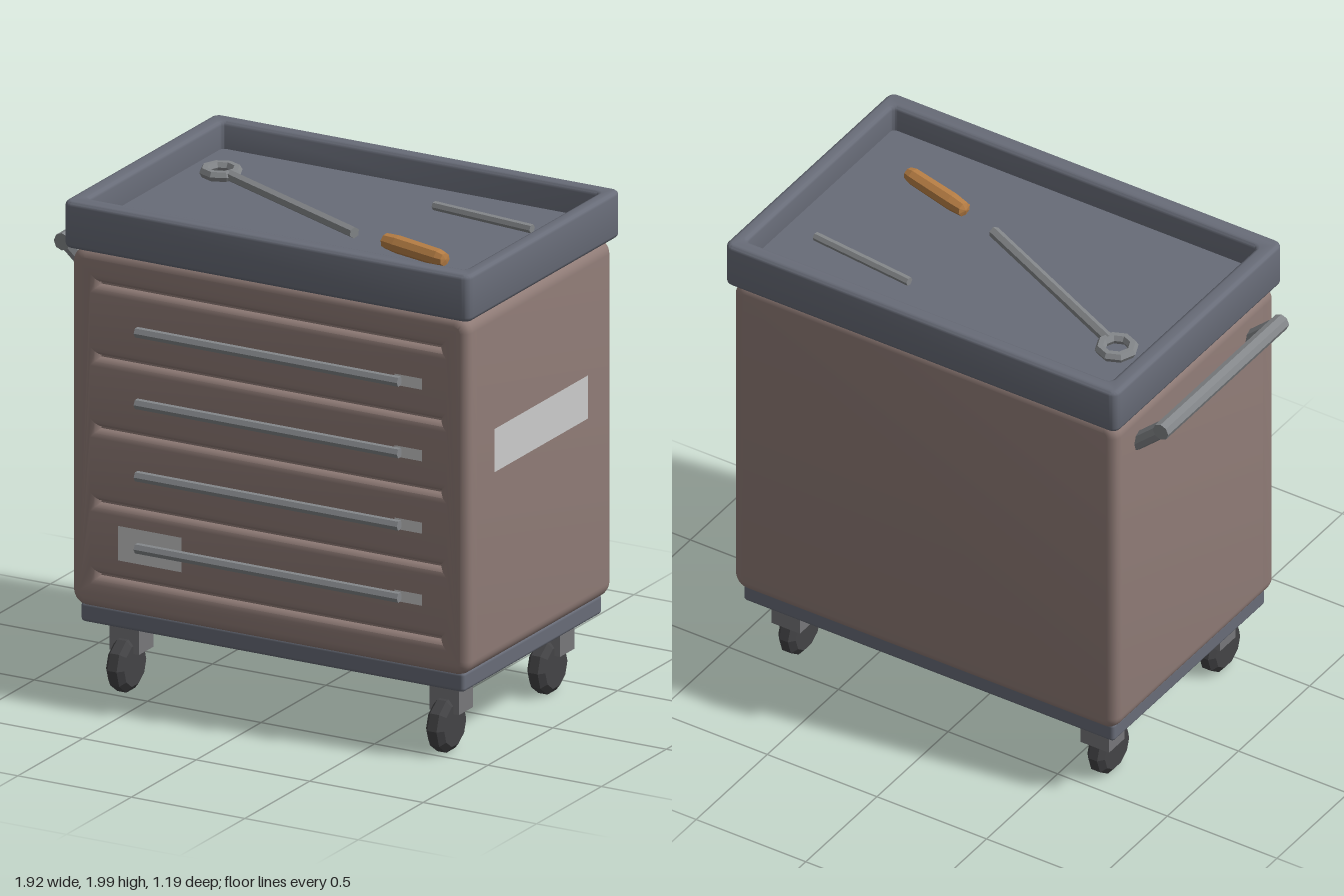
import * as THREE from 'three';
import { toCreasedNormals } from 'three/addons/utils/BufferGeometryUtils.js';
import { RoundedBoxGeometry } from 'three/addons/geometries/RoundedBoxGeometry.js';

const mat = (color, flatShading = false) => new THREE.MeshStandardMaterial({ color, flatShading });
const paint = mat(0x907c77);
const slate = mat(0x686c78);
const steel = mat(0x84878a, true);
const fork = mat(0x77777a, true);
const rubber = mat(0x444446, true);
const wood = mat(0xb87f45, true);
const label = new THREE.MeshStandardMaterial({ color: 0xcccccc, side: THREE.DoubleSide });

function add(parent, name, geometry, material, x = 0, y = 0, z = 0) {
  const mesh = new THREE.Mesh(geometry, material);
  mesh.name = name;
  mesh.position.set(x, y, z);
  parent.add(mesh);
  return mesh;
}

// Rectangle outline with rounded corners
function roundedRect(x0, x1, y0, y1, r, Type = THREE.Shape) {
  const s = new Type();
  s.absarc(x1 - r, y1 - r, r, 0, Math.PI / 2);
  s.absarc(x0 + r, y1 - r, r, Math.PI / 2, Math.PI);
  s.absarc(x0 + r, y0 + r, r, Math.PI, Math.PI * 1.5);
  s.absarc(x1 - r, y0 + r, r, Math.PI * 1.5, Math.PI * 2);
  s.closePath();
  return s;
}

// Bevelled slab filling z0..z1, whose outline is its widest section
function slab(shape, z0, z1, bevel) {
  const g = new THREE.ExtrudeGeometry(shape, {
    depth: z1 - z0 - 2 * bevel, bevelThickness: bevel, bevelSize: bevel,
    bevelOffset: -bevel, bevelSegments: 3, curveSegments: 4,
  });
  return toCreasedNormals(g.translate(0, 0, z0 + bevel), 0.7);
}

// Round bar between two points
function bar(parent, name, a, b, r, material, sides = 6, r2 = r) {
  const p = new THREE.Vector3(...a), q = new THREE.Vector3(...b);
  const dir = q.clone().sub(p);
  const mesh = add(parent, name, new THREE.CylinderGeometry(r2, r, dir.length(), sides), material);
  mesh.position.copy(p).add(q).multiplyScalar(0.5);
  mesh.quaternion.setFromUnitVectors(new THREE.Vector3(0, 1, 0), dir.normalize());
  return mesh;
}

function caster(x, z) {
  const g = new THREE.Group();
  g.name = 'caster';
  add(g, 'casterBracket', new THREE.BoxGeometry(0.13, 0.14, 0.11), fork, 0, 0.23, 0);
  const profile = [[0, -0.04], [0.085, -0.04], [0.11, -0.02], [0.11, 0.02], [0.085, 0.04], [0, 0.04]];
  const wheel = add(g, 'casterWheel',
    new THREE.LatheGeometry(profile.map((p) => new THREE.Vector2(...p)), 10), rubber, 0, 0.11, 0.04);
  wheel.rotation.z = Math.PI / 2;
  g.position.set(x, 0, z);
  return g;
}

export function createModel() {
  const model = new THREE.Group();
  model.name = 'toolCart';

  // Cabinet: plain core plus a front panel with drawer grooves cut into it
  const outline = () => roundedRect(-0.81, 0.94, 0.36, 1.81, 0.06);
  add(model, 'cabinetBody', slab(outline(), -0.57, 0.52, 0.04), paint);
  const front = outline();
  for (const y of [1.675, 1.38, 1.09, 0.79, 0.495]) {
    front.holes.push(new THREE.Path([
      [-0.69, y - 0.003], [-0.69, y + 0.003], [0.81, y + 0.003], [0.81, y - 0.003],
    ].map((p) => new THREE.Vector2(...p))));
  }
  add(model, 'drawerFront', slab(front, 0.43, 0.55, 0.035), paint);

  // Drawer handles with small label tabs
  for (const y of [1.52, 1.23, 0.937, 0.645]) {
    bar(model, 'drawerHandle', [-0.51, y, 0.57], [0.65, y, 0.57], 0.021, steel);
    add(model, 'drawerTab', new THREE.PlaneGeometry(0.12, 0.045), label, 0.68, y, 0.554);
  }
  add(model, 'frontPlate', new THREE.PlaneGeometry(0.28, 0.14), label, -0.46, 0.645, 0.554);
  const side = add(model, 'sidePlate', new THREE.PlaneGeometry(0.72, 0.175), label, 0.944, 1.225, -0.01);
  side.rotation.y = Math.PI / 2;

  // Top tray: raised rim around a sunken floor
  const rim = roundedRect(-0.83, 0.96, -0.58, 0.6, 0.035);
  rim.holes.push(roundedRect(-0.76, 0.9, -0.5, 0.53, 0.02, THREE.Path));
  add(model, 'trayRim', slab(rim, 1.81, 2, 0.018).rotateX(-Math.PI / 2), slate);
  add(model, 'trayFloor', new THREE.BoxGeometry(1.7, 0.075, 1.07), slate, 0.07, 1.852, -0.015);

  // Tools lying in the tray
  const wrench = new THREE.Group();
  wrench.name = 'wrench';
  const ring = add(wrench, 'wrenchRing', new THREE.TorusGeometry(0.064, 0.022, 6, 8), steel, -0.6, 1.912, -0.24);
  ring.rotation.x = Math.PI / 2;
  bar(wrench, 'wrenchShaft', [-0.55, 1.912, -0.215], [0.2, 1.912, 0.13], 0.023, steel);
  model.add(wrench);
  bar(model, 'steelRod', [0.3, 1.907, -0.31], [0.76, 1.907, -0.26], 0.018, steel);
  const grip = [[0, -0.165], [0.026, -0.16], [0.034, -0.13], [0.036, 0.09], [0.03, 0.155], [0, 0.165]];
  const handle = add(model, 'woodenGrip',
    new THREE.LatheGeometry(grip.map((p) => new THREE.Vector2(...p)), 8), wood, 0.515, 1.923, 0.215);
  handle.quaternion.setFromUnitVectors(new THREE.Vector3(0, 1, 0), new THREE.Vector3(-0.31, 0, -0.08).normalize());

  // Push handle on the right side
  const push = new THREE.Group();
  push.name = 'pushHandle';
  bar(push, 'pushBar', [-0.93, 1.765, -0.44], [-0.93, 1.765, 0.41], 0.035, steel, 8);
  for (const z of [-0.405, 0.375]) {
    bar(push, 'pushArm', [-0.79, 1.64, z], [-0.93, 1.765, z], 0.034, steel, 8);
  }
  model.add(push);

  // Base plate on four casters
  add(model, 'basePlate', new RoundedBoxGeometry(1.69, 0.08, 1.07, 2, 0.015), slate, 0.065, 0.33, -0.005);
  for (const x of [-0.64, 0.77]) {
    for (const z of [0.38, -0.4]) model.add(caster(x, z));
  }
  return model;
}
